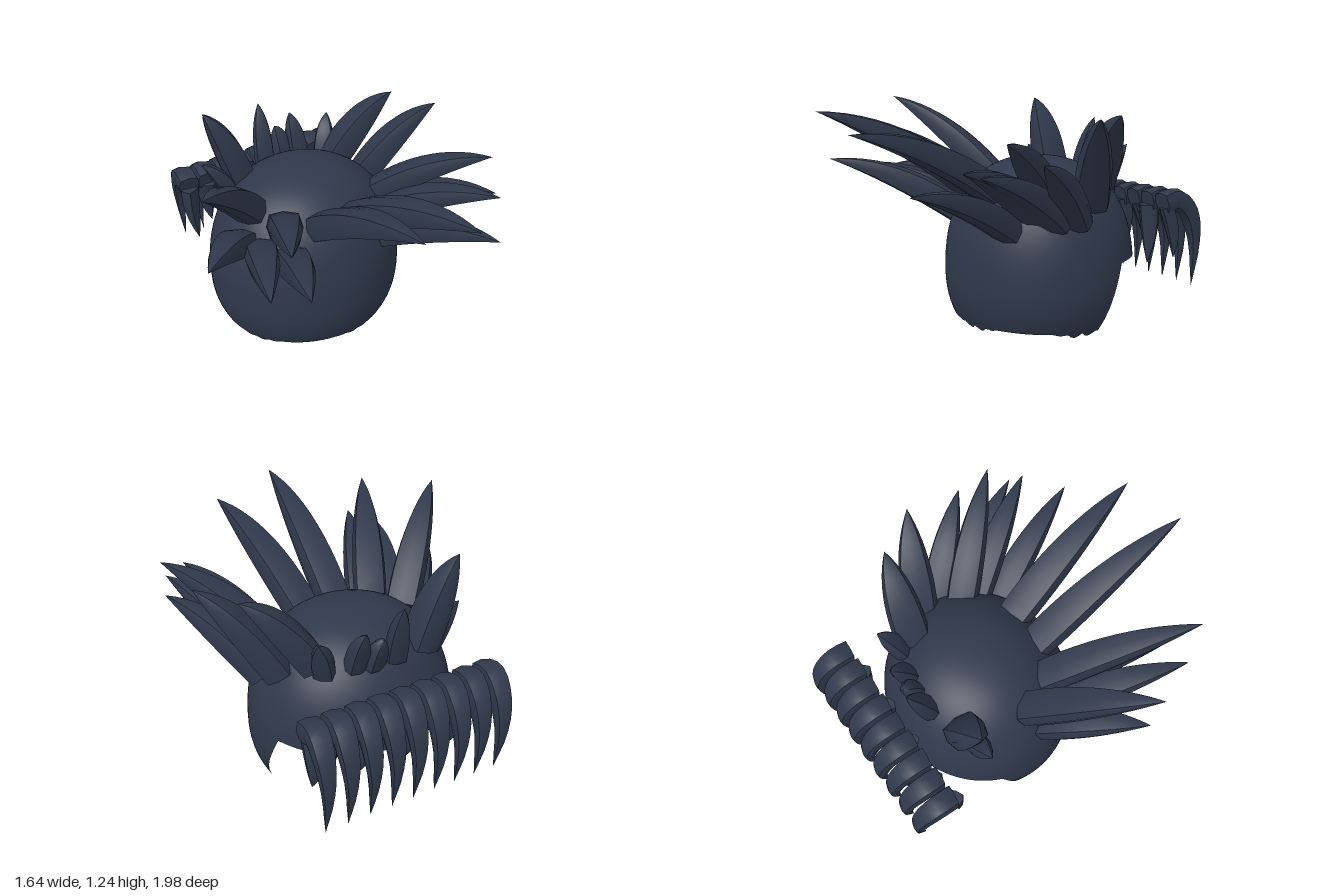
import * as THREE from 'three';
import { toCreasedNormals } from 'three/addons/utils/BufferGeometryUtils.js';

const hair = new THREE.MeshStandardMaterial({ color: 0x2f384b, side: THREE.DoubleSide });
hair.name = 'darkBlueHair';

// Skin a grid of points (rows of equal length)
function gridGeometry(rows, closed) {
  const n = rows[0].length, pos = [], idx = [];
  rows.forEach((r) => r.forEach((p) => pos.push(p.x, p.y, p.z)));
  for (let i = 0; i < rows.length - 1; i++) {
    for (let j = 0; j < (closed ? n : n - 1); j++) {
      const k = (j + 1) % n, a = i * n + j, b = i * n + k, c = a + n, d = b + n;
      idx.push(a, b, c, b, d, c);
    }
  }
  const g = new THREE.BufferGeometry();
  g.setAttribute('position', new THREE.Float32BufferAttribute(pos, 3));
  g.setIndex(idx);
  g.computeVertexNormals();
  return g;
}

const squarish = (v) => Math.sign(v) * Math.abs(v) ** 0.6;

// Curved tapering lock with a flat butt end and a rounded-box section
function lock(name, path, width, thick) {
  const chord = path.getPoint(1).sub(path.getPoint(0));
  const side = chord.cross(new THREE.Vector3(0, 1, 0)).normalize();
  const rows = [], steps = 12, sides = 8;
  for (let i = -1; i <= steps; i++) {
    const t = Math.max(i, 0) / steps;
    const c = path.getPoint(t);
    const up = side.clone().cross(path.getTangent(t)).normalize();
    const s = i < 0 ? 0 : (0.95 + 0.4 * t) * (1 - Math.pow(t, 1.7)) + 0.002;
    const ring = [];
    for (let j = 0; j < sides; j++) {
      const a = (j / sides) * Math.PI * 2;
      ring.push(c.clone()
        .addScaledVector(side, squarish(Math.cos(a)) * s * width / 2)
        .addScaledVector(up, squarish(Math.sin(a)) * s * thick / 2));
    }
    rows.push(ring);
  }
  const mesh = new THREE.Mesh(toCreasedNormals(gridGeometry(rows, true), 0.9), hair);
  mesh.name = name;
  return mesh;
}

// Lower edge of the cap at a given depth: ragged nape hem, temple slope, hairline
function hemHeight(z, az) {
  if (z > -0.3) {
    const clump = Math.max(0, Math.sin(az * 5 + 0.6));
    return 0.035 - 0.03 * clump * Math.abs(Math.sin(az * 17));
  }
  return z > -0.44 ? 0.03 + ((-0.3 - z) / 0.14) * 0.36 : 0.39;
}

// Slightly squared dome
function capPoint(theta, az) {
  const e = 2 / 2.3, c = Math.cos(theta);
  const r = Math.pow(Math.abs(Math.sin(theta)), e);
  const h = Math.sign(c) * Math.pow(Math.abs(c), e);
  return new THREE.Vector3(
    0.565 * r * Math.sin(az),
    0.29 + (h > 0 ? 0.64 : 0.5) * h,
    -0.24 + 0.52 * r * Math.cos(az));
}

// Dome trimmed along the hem
function makeCap() {
  const around = 144, down = 28, cols = [];
  for (let j = 0; j <= around; j++) {
    const az = (j / around) * Math.PI * 2;
    let limit = 0;
    while (limit < 2.8) {
      const p = capPoint(limit, az);
      if (p.y < hemHeight(p.z, az)) break;
      limit += 0.004;
    }
    const col = [];
    for (let i = 0; i <= down; i++) col.push(capPoint(limit * i / down, az));
    cols.push(col);
  }
  const mesh = new THREE.Mesh(gridGeometry(cols, false), hair);
  mesh.name = 'hairCap';
  return mesh;
}

// Arched lock rooted just inside the cap at an angle (degrees) and height
function rootedLock(name, [angle, height, x, y, z], lift, width) {
  const theta = Math.acos(Math.pow((height - 0.29) / 0.64, 1.15));
  const base = capPoint(theta, THREE.MathUtils.degToRad(angle));
  base.x *= 0.93;
  base.z = -0.24 + (base.z + 0.24) * 0.93;
  const tip = new THREE.Vector3(x, y, z);
  const mid = base.clone().lerp(tip, 0.5);
  mid.y += lift;
  return lock(name, new THREE.QuadraticBezierCurve3(base, mid, tip), width, width * 0.83);
}

// Root angle, root height, tip x, y, z
const FRONT = [
  [-13, 0.75, -0.11, 1.19, 1.0], [16, 0.75, 0.25, 1.09, 0.96],
];
const LEFT = [
  [37, 0.57, 0.55, 0.82, 0.79], [52, 0.66, 0.7, 0.93, 0.6],
  [69, 0.62, 0.73, 0.91, 0.53], [62, 0.73, 0.78, 1.06, 0.42],
  [82, 0.62, 0.82, 0.96, 0.25],
];
const RIGHT = [
  [-37, 0.6, -0.55, 0.91, 0.79], [-44, 0.76, -0.61, 1.14, 0.73],
  [-58, 0.62, -0.68, 0.86, 0.65], [-73, 0.63, -0.82, 0.84, 0.28],
  [-77, 0.78, -0.82, 1.25, 0.29],
];
const BACK = [
  [98, 0.7, 0.78, 1.16, -0.09], [122, 0.79, 0.64, 1.17, -0.32],
  [-138, 0.77, -0.46, 1.24, -0.5],
];
const TUFTS = [
  [-169, 0.79, -0.05, 1.13, -0.66], [171, 0.79, 0.04, 0.97, -0.64],
  [157, 0.79, 0.14, 1.03, -0.64], [134, 0.76, 0.36, 1.0, -0.58],
  [-128, 0.72, -0.5, 0.95, -0.48],
];

export function createModel() {
  const model = new THREE.Group();
  model.name = 'spikyHair';
  model.add(makeCap());

  FRONT.forEach((s) => model.add(rootedLock('frontSpike', s, 0.12, 0.2)));
  LEFT.forEach((s) => model.add(rootedLock('leftSpike', s, 0.1, 0.18)));
  RIGHT.forEach((s) => model.add(rootedLock('rightSpike', s, 0.1, 0.19)));
  BACK.forEach((s) => model.add(rootedLock('backSpike', s, 0.1, 0.2)));
  TUFTS.forEach((s) => model.add(rootedLock('crownTuft', s, 0.06, 0.12)));

  // Row of claw-shaped bangs, with a shorter fringe tucked beneath
  const bangs = new THREE.Group();
  bangs.name = 'bangs';
  const count = 9;
  for (let i = 0; i < count; i++) {
    const x = -0.49 + (i / (count - 1)) * 0.98;
    const claw = new THREE.CatmullRomCurve3([
      new THREE.Vector3(x, 0.68, -0.73),
      new THREE.Vector3(x, 0.7, -0.82),
      new THREE.Vector3(x + 0.01, 0.62, -0.91),
      new THREE.Vector3(x + 0.015, 0.46, -0.955),
      new THREE.Vector3(x + 0.02, 0.2, -0.94),
    ]);
    bangs.add(lock('bang', claw, 0.13, 0.12));
    const k = ((i * 4) % count) / count;
    const tooth = new THREE.QuadraticBezierCurve3(
      new THREE.Vector3(x, 0.66, -0.73 - 0.05 * k),
      new THREE.Vector3(x, 0.5, -0.74 - 0.16 * k),
      new THREE.Vector3(x + 0.02, 0.32 + 0.1 * k, -0.7 - 0.18 * k));
    bangs.add(lock('fringe', tooth, 0.11, 0.08));
  }
  model.add(bangs);
  return model;
}
